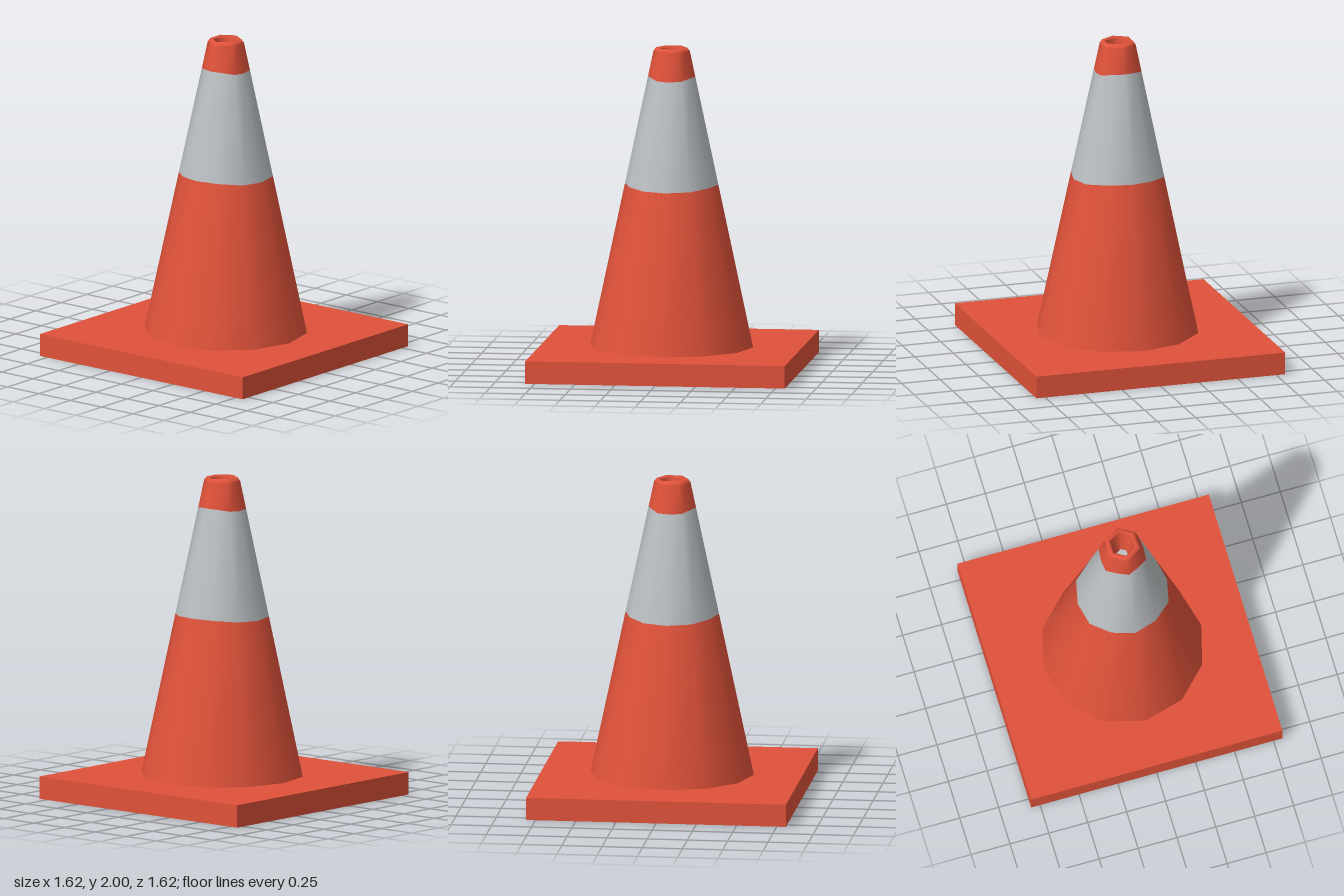
import * as THREE from 'three';

const SIDES = 12;
const CENTRE_X = 0.015;

// The wall blends from a 12-sided foot to a 6-sided top: every second corner
// ends on the middle of a hexagon edge.
const BOTTOM = { y: 0.14, r: 0.507 };
const TOP = { y: 1.98, r: 0.113 };
const hex = (j) => (j % 2 ? Math.cos(Math.PI / 6) : 1);

function wallRadius(y, j) {
  const t = (y - BOTTOM.y) / (TOP.y - BOTTOM.y);
  return BOTTOM.r + (TOP.r * hex(j) - BOTTOM.r) * t;
}

// A ring on the wall; wave tilts the colour edge up at front and back.
const wallRing = (y, wave = 0) => (j, a) => {
  const h = y + wave * Math.cos(2 * a);
  return [wallRadius(h, j), h];
};
// A plain hexagonal ring
const hexRing = (r, y) => (j) => [r * hex(j), y];

// Joins rings into a smooth closed band
function loft(rings) {
  const positions = [];
  const index = [];
  rings.forEach((ring, i) => {
    for (let j = 0; j < SIDES; j++) {
      const a = (j / SIDES) * Math.PI * 2;
      const [r, y] = ring(j, a);
      positions.push(Math.sin(a) * r, y, Math.cos(a) * r);
      if (i === rings.length - 1) continue;
      const k = (j + 1) % SIDES;
      const p = i * SIDES;
      const q = p + SIDES;
      index.push(p + j, p + k, q + k, p + j, q + k, q + j);
    }
  });
  const geometry = new THREE.BufferGeometry();
  geometry.setAttribute('position', new THREE.Float32BufferAttribute(positions, 3));
  geometry.setIndex(index);
  geometry.computeVertexNormals();
  return geometry;
}

export function createModel() {
  const red = new THREE.MeshStandardMaterial({ color: 0xe0523a });
  red.name = 'orange red';
  const grey = new THREE.MeshStandardMaterial({ color: 0xbcc0c3 });
  grey.name = 'light grey';

  const model = new THREE.Group();
  model.name = 'trafficCone';
  const add = (parent, name, geometry, material) => {
    const mesh = new THREE.Mesh(geometry, material);
    mesh.name = name;
    parent.add(mesh);
    return mesh;
  };

  // Square foot plate
  const base = add(model, 'base', new THREE.BoxGeometry(1.615, 0.14, 1.615), red);
  base.position.y = 0.07;

  const cone = new THREE.Group();
  cone.name = 'cone';
  cone.position.x = CENTRE_X;
  model.add(cone);

  // Outer wall in three colour zones
  const low = wallRing(1.14, 0.01);
  const high = wallRing(1.81, 0.01);
  add(cone, 'lowerCone', loft([wallRing(BOTTOM.y), low]), red);
  add(cone, 'reflectiveBand', loft([low, high]), grey);
  add(cone, 'upperCone', loft([high, wallRing(TOP.y)]), red);

  // Rounded rim and the hollow inside it
  add(cone, 'rim', loft([wallRing(TOP.y), hexRing(0.097, 2), hexRing(0.08, 1.99)]), red);
  add(cone, 'innerWall', loft([hexRing(0.08, 1.99), hexRing(0.065, 1.93), hexRing(0.036, 1.8)]), red);
  const floor = add(cone, 'innerFloor', new THREE.CircleGeometry(0.037, SIDES), grey);
  floor.rotation.x = -Math.PI / 2;
  floor.position.y = 1.801;

  return model;
}
